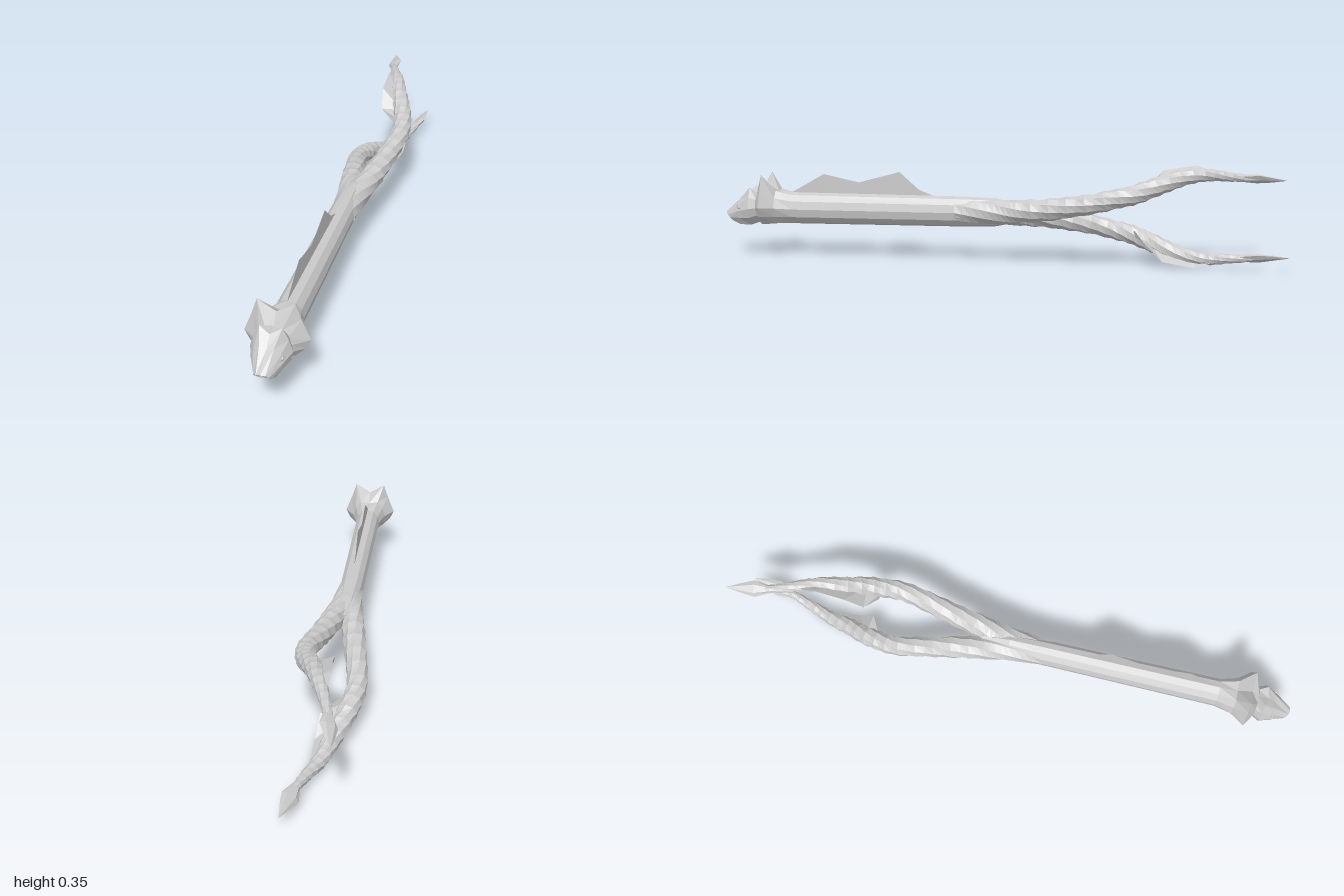
import * as THREE from 'three';

const V = (x, y, z) => new THREE.Vector3(x, y, z);
const mat = new THREE.MeshStandardMaterial({ color: 0xcccccc, flatShading: true });
const thinMat = new THREE.MeshStandardMaterial({ color: 0xcccccc, flatShading: true, side: THREE.DoubleSide });

function mesh(name, geometry, material = mat) {
  const m = new THREE.Mesh(geometry, material);
  m.name = name;
  return m;
}

function fromTriangles(points) {
  const g = new THREE.BufferGeometry().setFromPoints(points);
  g.computeVertexNormals();
  return g;
}

// Faceted skin over closed rings, capped at both ends
function loft(rings) {
  const out = [];
  const n = rings[0].length;
  for (let i = 0; i < rings.length - 1; i++) {
    for (let j = 0; j < n; j++) {
      const k = (j + 1) % n;
      const a = rings[i][j], b = rings[i][k], c = rings[i + 1][k], d = rings[i + 1][j];
      out.push(a, b, c, a, c, d);
    }
  }
  const cap = (ring, front) => {
    const mid = ring.reduce((s, p) => s.add(p), V(0, 0, 0)).divideScalar(n);
    ring.forEach((p, j) => {
      const q = ring[(j + 1) % n];
      out.push(mid, front ? p : q, front ? q : p);
    });
  };
  cap(rings[0], false);
  cap(rings[rings.length - 1], true);
  return fromTriangles(out);
}

// Mirrored ring from seven half-section points, top centre to bottom centre
function mirrorRing(half, z) {
  const left = half.map(([x, y, pz]) => V(-x, y, pz ?? z));
  const right = half.slice(1, -1).reverse().map(([x, y, pz]) => V(x, y, pz ?? z));
  return [...left, ...right];
}

function ovalHalf(rx, ry, cy, zAt) {
  return Array.from({ length: 7 }, (_, i) => {
    const a = i * Math.PI / 6, y = cy + ry * Math.cos(a);
    return [rx * Math.sin(a), y, zAt ? zAt(y) : undefined];
  });
}

// Thin strip between two edges
function strip(inner, outer) {
  const out = [];
  for (let i = 0; i < inner.length - 1; i++) {
    out.push(inner[i], outer[i], outer[i + 1], inner[i], outer[i + 1], inner[i + 1]);
  }
  return fromTriangles(out);
}

// Ring across a direction of travel
function crossRing(p, tangent, rx, ry, sides, turn) {
  const u = tangent.clone().cross(V(0, 1, 0)).normalize();
  const v = tangent.clone().cross(u).normalize();
  return Array.from({ length: sides }, (_, j) => {
    const a = j * 2 * Math.PI / sides;
    const c = rx * Math.cos(a), s = ry * Math.sin(a);
    const x = c * Math.cos(turn) - s * Math.sin(turn);
    const y = c * Math.sin(turn) + s * Math.cos(turn);
    return p.clone().addScaledVector(u, x).addScaledVector(v, y);
  });
}

// Curling scaly prong with a leaf-shaped tip and a side fin
function createProng() {
  const g = new THREE.Group();
  // x, y, z, radius
  const path = [
    [0.003, 0.176, 0.14, 0.044], [0.018, 0.178, 0, 0.043], [0.036, 0.186, -0.1, 0.041],
    [0.062, 0.205, -0.25, 0.037], [0.083, 0.237, -0.4, 0.034], [0.068, 0.262, -0.5, 0.034],
    [0.033, 0.298, -0.6, 0.031], [0.003, 0.319, -0.7, 0.024], [-0.025, 0.314, -0.78, 0.018],
    [-0.048, 0.305, -0.86, 0.013],
  ];
  const curve = new THREE.CatmullRomCurve3(path.map(([x, y, z]) => V(x, y, z)));
  const steps = 44;
  const rings = [];
  for (let k = 0; k <= steps; k++) {
    const t = k / steps, f = t * (path.length - 1);
    const i = Math.min(Math.floor(f), path.length - 2);
    let r = THREE.MathUtils.lerp(path[i][3], path[i + 1][3], f - i);
    if (k > 9) r *= k % 2 ? 1.05 : 0.95;
    rings.push(crossRing(curve.getPoint(t), curve.getTangent(t), r, r, 9, k * 0.12));
  }
  g.add(mesh('prongStem', loft(rings)));

  // x, y, z, half width, half thickness
  const leaf = [
    [-0.044, 0.306, -0.84, 0.012, 0.012], [-0.054, 0.303, -0.9, 0.029, 0.012],
    [-0.062, 0.299, -0.95, 0.016, 0.007], [-0.07, 0.297, -1, 0.0005, 0.0005],
  ];
  const dir = V(-0.16, -0.06, -1).normalize();
  g.add(mesh('prongTip', loft(leaf.map(([x, y, z, w, h]) => crossRing(V(x, y, z), dir, w, h, 6, -0.5)))));

  const inner = [V(0.068, 0.25, -0.47), V(0.055, 0.268, -0.53), V(0.033, 0.298, -0.6),
    V(0.003, 0.325, -0.7), V(-0.025, 0.314, -0.78)];
  const outer = [V(0.035, 0.235, -0.485), V(-0.02, 0.27, -0.52), V(-0.03, 0.33, -0.58),
    V(-0.03, 0.349, -0.69), V(-0.028, 0.316, -0.785)];
  g.add(mesh('prongFin', strip(inner, outer), thinMat));
  return g;
}

export function createModel() {
  const model = new THREE.Group();
  model.name = 'forkedStaff';

  // Straight shaft, tapering into the fork
  const shaft = [[-0.1, 0.012, 0.028], [0, 0.035, 0.05], [0.12, 0.043, 0.054], [0.74, 0.047, 0.057]];
  const shaftRings = shaft.map(([z, rx, ry]) => mirrorRing(ovalHalf(rx, ry, 0.175), z));

  // Flared collar with two horn-like crests, then the neck
  const flare = [[0, 0.236], [0.035, 0.24], [0.055, 0.215], [0.066, 0.18], [0.054, 0.148], [0.033, 0.122], [0, 0.117]];
  const crest = [[0, 0.266], [0.057, 0.3], [0.074, 0.25], [0.1, 0.184], [0.085, 0.152], [0.053, 0.12], [0, 0.117]];
  const neck = ovalHalf(0.05, 0.056, 0.178);
  model.add(mesh('shaftAndCollar', loft([...shaftRings,
    mirrorRing(flare, 0.8), mirrorRing(crest, 0.845), mirrorRing(neck, 0.875)])));

  // Head narrowing to a slanted muzzle
  const brow = [[0, 0.234, 0.91], [0.034, 0.25], [0.052, 0.215], [0.064, 0.175], [0.056, 0.142], [0.032, 0.114], [0, 0.113]];
  const cheek = [[0, 0.203], [0.022, 0.208], [0.04, 0.187], [0.048, 0.165], [0.043, 0.14], [0.026, 0.114], [0, 0.113]];
  const muzzle = ovalHalf(0.028, 0.022, 0.137, (y) => 0.978 + (y - 0.137));
  model.add(mesh('head', loft([mirrorRing(neck, 0.87), mirrorRing(brow, 0.898),
    mirrorRing(cheek, 0.94), mirrorRing(muzzle)])));

  // Ringed openings on the muzzle
  const nose = new THREE.Group();
  nose.name = 'muzzleOpenings';
  nose.position.set(0, 0.137, 0.979);
  nose.rotation.x = Math.PI / 4;
  for (let i = 0; i < 6; i++) {
    const a = Math.PI / 2 + i * 2 * Math.PI / 5;
    const ring = mesh('openingRim', new THREE.TorusGeometry(i < 5 ? 0.004 : 0.006, 0.0015, 4, 8));
    if (i < 5) ring.position.set(0.018 * Math.cos(a), 0.018 * Math.sin(a), 0);
    nose.add(ring);
  }
  model.add(nose);

  // Eyes
  for (const s of [-1, 1]) {
    const eye = new THREE.Group();
    eye.name = s > 0 ? 'leftEye' : 'rightEye';
    eye.add(mesh('eyelid', new THREE.TorusGeometry(0.009, 0.002, 4, 8)));
    const ball = mesh('eyeball', new THREE.SphereGeometry(0.006, 8, 6));
    eye.add(ball);
    eye.position.set(s * 0.046, 0.178, 0.938);
    eye.rotation.y = s * 1.1;
    eye.scale.set(0.9, 1.1, 0.6);
    model.add(eye);
  }

  // Thin back fin along the shaft
  const fin = [[0.75, 0.232], [0.63, 0.3], [0.5, 0.272], [0.35, 0.312], [0.28, 0.25], [0.22, 0.226]];
  model.add(mesh('backFin', strip(fin.map(([z]) => V(0, 0.22, z)), fin.map(([z, y]) => V(0, y, z))), thinMat));

  // Upper prong and its half-turned partner
  const upper = createProng();
  upper.name = 'upperProng';
  const lower = createProng();
  lower.name = 'lowerProng';
  lower.rotation.z = Math.PI;
  lower.position.set(0.005, 0.35, 0);
  model.add(upper, lower);
  return model;
}
